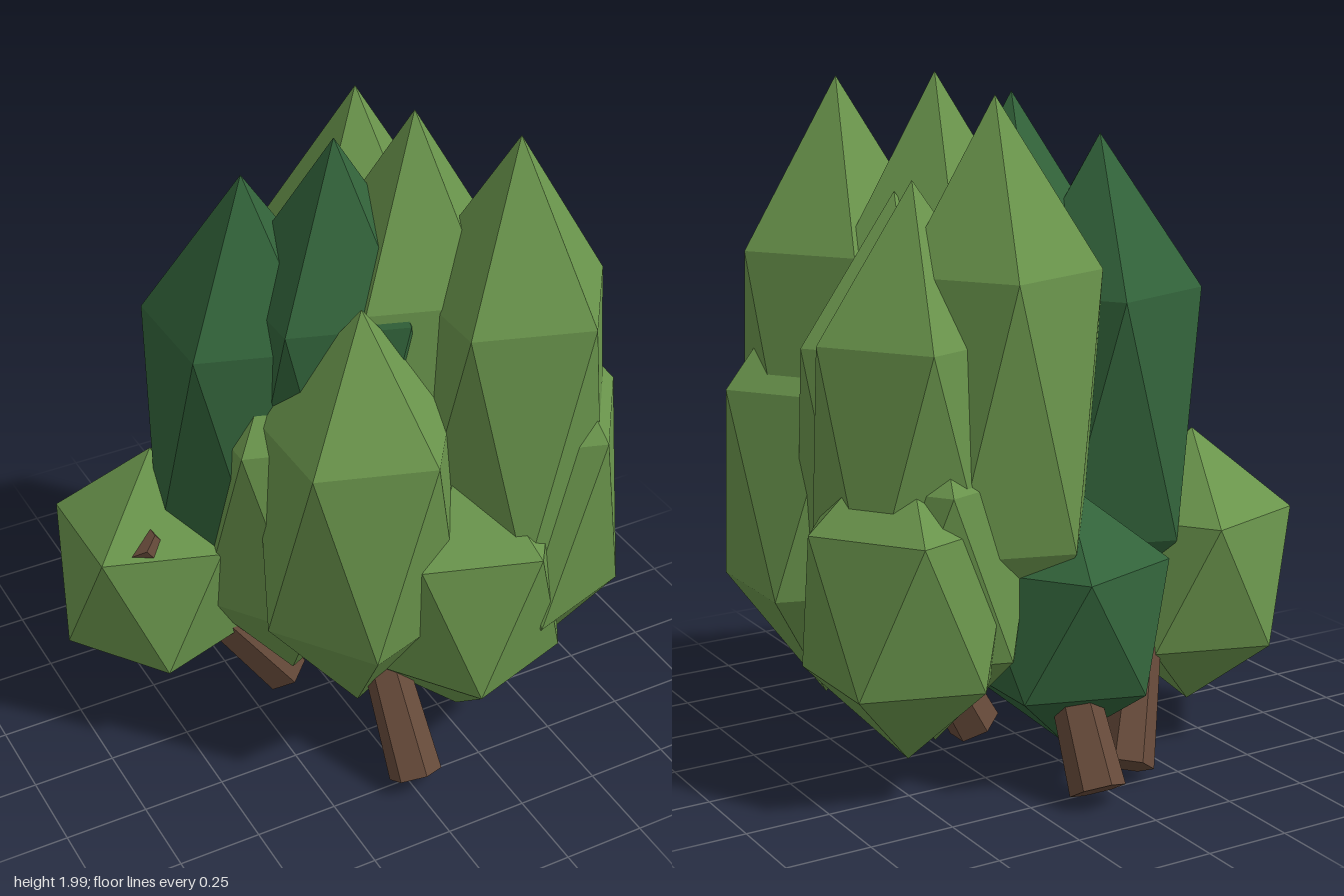
import * as THREE from 'three';

const material = (name, color) => {
  const m = new THREE.MeshStandardMaterial({ color, flatShading: true });
  m.name = name;
  return m;
};

export function createModel() {
  const group = new THREE.Group();
  const leafGreen = material('leafGreen', 0x6a954c);
  const darkGreen = material('darkGreen', 0x32633a);
  const bark = material('bark', 0x664a3a);

  // Icosahedron standing on one corner, upper ring pointing to +x
  const clumpGeometry = new THREE.IcosahedronGeometry(1, 0);
  clumpGeometry.rotateZ(-Math.atan(2 / (1 + Math.sqrt(5))));

  // Leaf clumps: centre x, y, z and half height
  const addClumps = (name, mat, list) => list.forEach(([x, y, z, h]) => {
    const mesh = new THREE.Mesh(clumpGeometry, mat);
    mesh.name = name;
    mesh.position.set(x, y, z);
    mesh.scale.set(0.332, h, 0.332);
    group.add(mesh);
  });

  addClumps('tallLeafClump', leafGreen, [
    [0.41, 1.11, 0.31, 0.87],
    [0.215, 1.115, 0.08, 0.885],
    [0.19, 1.1, -0.21, 0.855],
    [0.41, 0.955, -0.14, 0.775],
    [0.38, 0.93, 0.02, 0.75],
    [-0.05, 0.862, 0.275, 0.69],
  ]);
  addClumps('lowLeafClump', leafGreen, [
    [0.48, 0.805, 0.31, 0.67],
    [-0.13, 0.8, 0.0, 0.675],
    [0.48, 0.585, -0.21, 0.485],
    [0.25, 0.59, 0.36, 0.49],
    [0.37, 0.67, -0.17, 0.55],
    [-0.485, 0.52, -0.21, 0.425],
  ]);
  addClumps('darkLeafClump', darkGreen, [
    [0, 1.09, 0.02, 0.85],
    [-0.217, 1.025, -0.11, 0.796],
    [0.015, 0.475, -0.3, 0.39],
  ]);

  // Stems: slanted six-sided branches from foot to tip
  const up = new THREE.Vector3(0, 1, 0);
  [
    [[0.01, 0.05, 0.53], [0, 0.6, 0.18]],
    [[0.08, 0.05, -0.58], [0.05, 0.6, -0.25]],
    [[-0.09, 0.05, -0.47], [-0.3, 0.5, -0.25]],
    [[-0.12, 0.05, -0.09], [-0.6, 0.75, -0.05]],
    [[0.12, 0.05, 0.04], [0.42, 0.6, 0.04]],
  ].forEach(([a, b]) => {
    const foot = new THREE.Vector3(...a);
    const tip = new THREE.Vector3(...b);
    const dir = tip.clone().sub(foot);
    const mesh = new THREE.Mesh(new THREE.CylinderGeometry(0.055, 0.08, dir.length(), 6), bark);
    mesh.name = 'stem';
    mesh.position.copy(foot).lerp(tip, 0.5);
    mesh.quaternion.setFromUnitVectors(up, dir.normalize());
    group.add(mesh);
  });

  return group;
}
